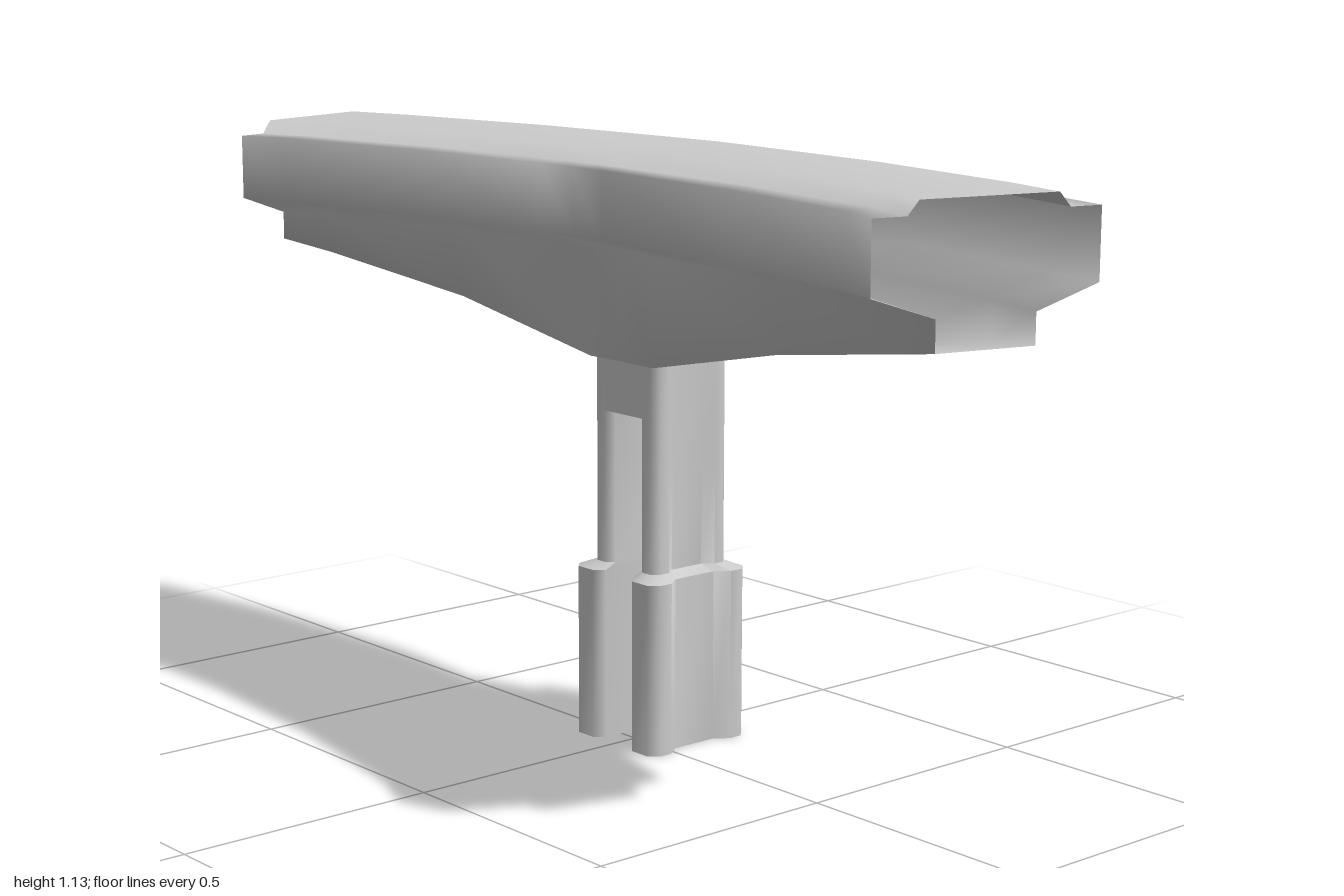
import * as THREE from 'three';
import { toCreasedNormals } from 'three/addons/utils/BufferGeometryUtils.js';

const material = new THREE.MeshStandardMaterial({ color: 0xcccccc, side: THREE.DoubleSide });

// Skins a list of equal-length closed rings of [x, y, z] points, leaving the ends open.
function loft(rings) {
  const n = rings[0].length, index = [];
  for (let i = 0; i < rings.length - 1; i++) {
    for (let j = 0; j < n; j++) {
      const k = (j + 1) % n;
      const a = i * n + j, b = i * n + k, c = (i + 1) * n + k, d = (i + 1) * n + j;
      index.push(a, b, c, a, c, d);
    }
  }
  const geometry = new THREE.BufferGeometry();
  geometry.setAttribute('position', new THREE.Float32BufferAttribute(rings.flat(2), 3));
  geometry.setIndex(index);
  geometry.computeVertexNormals();
  return geometry;
}

function addMesh(parent, name, geometry) {
  const mesh = new THREE.Mesh(geometry, material);
  mesh.name = name;
  parent.add(mesh);
  return mesh;
}

// Hollow curved deck with a raised top and a keel that deepens towards the column.
function deckGeometry() {
  // inner edge x, z; outer edge x, z; keel height
  const half = [
    [-0.15, 0, 0.275, 0, 0.735],
    [-0.152, 0.088, 0.27, 0.092, 0.735],
    [-0.18, 0.44, 0.24, 0.47, 0.81],
    [-0.24, 0.79, 0.17, 0.85, 0.865],
    [-0.28, 0.89, 0.13, 1, 0.885],
  ];
  const mirrored = half.slice(1).reverse().map(([ix, iz, ox, oz, y]) => [ix, -iz, ox, -oz, y]);
  const section = (keel) => [
    [0.28, keel], [0.72, keel], [0.72, 0.94], [1, 0.98], [1, 1.105], [0.86, 1.105],
    [0.81, 1.13], [0.2, 1.13], [0.15, 1.105], [0, 1.105], [0, 0.98], [0.28, 0.94],
  ];
  return loft([...mirrored, ...half].map(([ix, iz, ox, oz, keel]) =>
    section(keel).map(([u, y]) => [ix + (ox - ix) * u, y, iz + (oz - iz) * u])));
}

// Dog-bone outline of a leg: w half width, back to front depth, web is the recessed middle.
function legRing(y, w, front, web) {
  const back = 0.04, c = w * 0.15;
  const side = [[w * 0.4, web], [w * 0.62, front], [w - c, front], [w, front - c], [w, back + c], [w - c, back]];
  const left = side.map(([x, z]) => [-x, z]).reverse();
  return [...left, ...side].map(([x, z]) => [x, y, z]);
}

function legGeometry() {
  const geometry = loft([
    legRing(0, 0.12, 0.118, 0.098),
    legRing(0.33, 0.12, 0.118, 0.098),
    legRing(0.342, 0.0925, 0.09, 0.074),
    legRing(0.55, 0.0925, 0.09, 0.078),
    legRing(0.74, 0.0925, 0.09, 0.09),
  ]);
  return toCreasedNormals(geometry, 0.9);
}

export function createModel() {
  const model = new THREE.Group();
  model.name = 'curvedDeckOnColumn';
  addMesh(model, 'deck', deckGeometry());

  // Split column: two legs back to back, joined under the keel
  const column = new THREE.Group();
  column.name = 'column';
  column.position.x = 0.0635;
  const leg = legGeometry();
  addMesh(column, 'frontLeg', leg);
  addMesh(column, 'backLeg', leg).rotation.y = Math.PI;
  addMesh(column, 'columnHead', new THREE.BoxGeometry(0.185, 0.105, 0.11)).position.y = 0.6875;
  model.add(column);
  return model;
}
